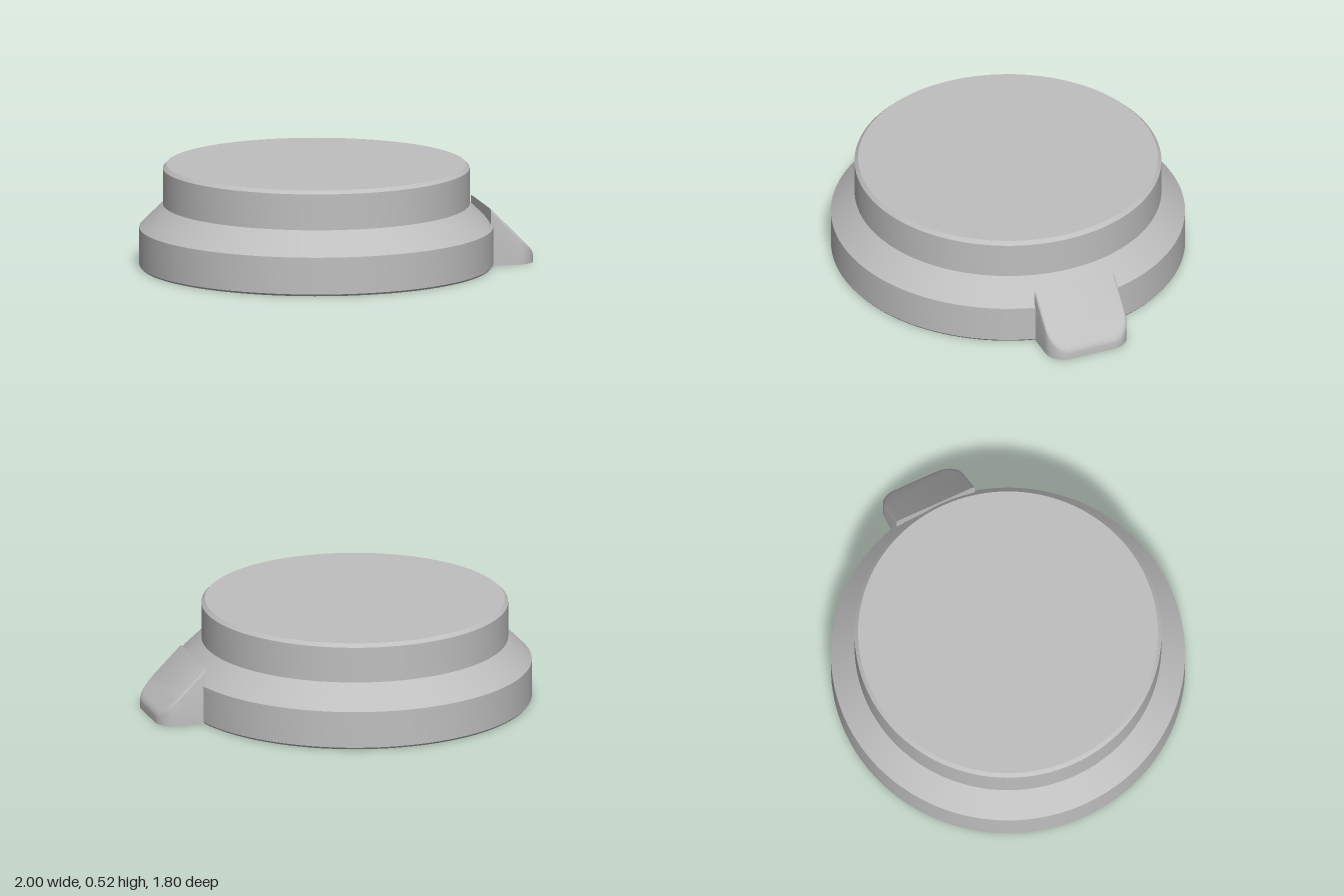
import * as THREE from 'three';
import { toCreasedNormals } from 'three/addons/utils/BufferGeometryUtils.js';

const CAP_X = -0.1;

// Hollow stepped cap: outer wall going up, then the inner wall going down
function capGeometry() {
  const profile = [
    [0.86, 0], [0.892, 0], [0.9, 0.01], [0.9, 0.2], [0.78, 0.32], [0.78, 0.505], [0.762, 0.523], [0, 0.523],
    [0, 0.468], [0.715, 0.468], [0.738, 0.425], [0.738, 0.3], [0.85, 0.175],
    // snap bead inside the skirt
    [0.85, 0.15], [0.83, 0.13], [0.83, 0.11], [0.85, 0.09],
    [0.85, 0.012], [0.86, 0],
  ].map(([r, y]) => new THREE.Vector2(r, y));
  return toCreasedNormals(new THREE.LatheGeometry(profile, 128), 0.4);
}

// Lift tab: rounded outline extruded upwards, its top sheared to a 45 degree slope
function tabGeometry() {
  const back = 0.76, x0 = 0.7, x1 = 1, w = 0.22, r = 0.1, bevel = 0.018;
  const outline = new THREE.Shape();
  outline.moveTo(x0, -w);
  outline.lineTo(x1 - r, -w);
  outline.absarc(x1 - r, -w + r, r, -Math.PI / 2, 0);
  outline.lineTo(x1, w - r);
  outline.absarc(x1 - r, w - r, r, 0, Math.PI / 2);
  outline.lineTo(x0, w);
  outline.closePath();
  const geometry = new THREE.ExtrudeGeometry(outline, {
    depth: 1, curveSegments: 12, bevelEnabled: true,
    bevelThickness: bevel, bevelSize: bevel, bevelOffset: -bevel, bevelSegments: 4,
  });
  geometry.rotateX(-Math.PI / 2);
  const p = geometry.attributes.position;
  for (let i = 0; i < p.count; i++) {
    const x = Math.max(p.getX(i), back);
    const y = p.getY(i);
    // upper bevel follows the slope, lower one is flattened onto the base
    p.setXYZ(i, x, y > 0.5 ? 1.053 - x - (1 + bevel - y) : 0, p.getZ(i));
  }
  return toCreasedNormals(geometry, 0.5);
}

export function createModel() {
  const plastic = new THREE.MeshStandardMaterial({ color: 0xbfbfbf });
  plastic.name = 'grey plastic';

  const cap = new THREE.Mesh(capGeometry(), plastic);
  cap.name = 'cap';
  cap.position.x = CAP_X;

  const tab = new THREE.Mesh(tabGeometry(), plastic);
  tab.name = 'liftTab';

  const model = new THREE.Group();
  model.name = 'snapLid';
  model.add(cap, tab);
  return model;
}
